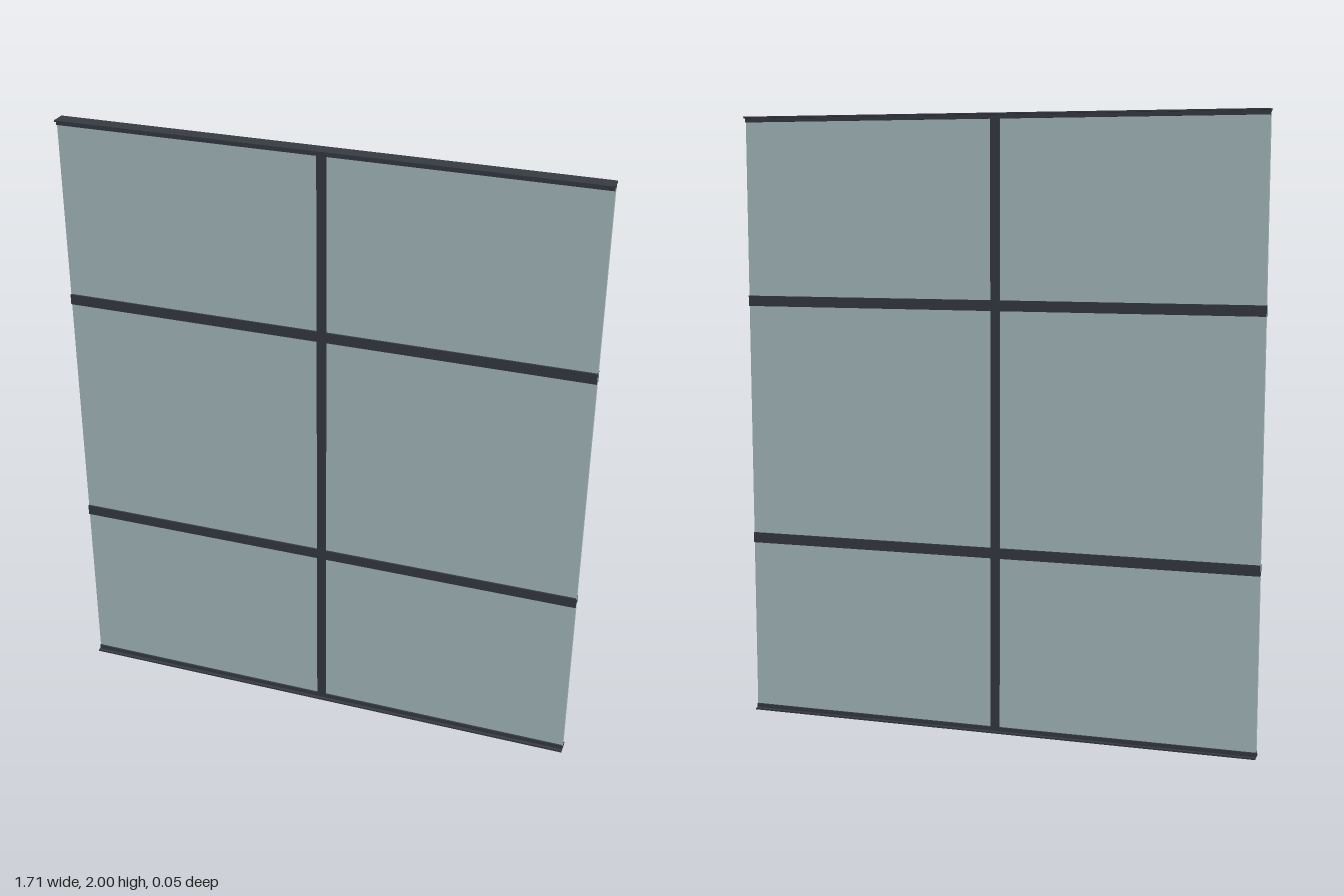
import * as THREE from 'three';

const WIDTH = 1.71, HEIGHT = 2, DEPTH = 0.026;

export function createModel() {
  const group = new THREE.Group();
  const frame = new THREE.MeshStandardMaterial({ color: 0x363a42 });
  frame.name = 'dark frame';
  const glass = new THREE.MeshStandardMaterial({ color: 0xa9bfc2 });
  glass.name = 'pale glass';

  const box = (name, material, w, h, d, x, y) => {
    const mesh = new THREE.Mesh(new THREE.BoxGeometry(w, h, d), material);
    mesh.name = name;
    mesh.position.set(x, y, 0);
    group.add(mesh);
  };

  // Six panes, two columns by three rows, tucked into the bars
  const levels = [0.01, 0.6, 1.4, 1.99];
  for (const side of [-1, 1]) {
    for (let i = 0; i < 3; i++) {
      const h = levels[i + 1] - levels[i];
      box('pane', glass, WIDTH / 2, h, 0.014, side * WIDTH / 4, levels[i] + h / 2);
    }
  }

  // Upright bar and the two cross rails
  box('mullion', frame, 0.03, HEIGHT - 0.01, DEPTH, 0, HEIGHT / 2);
  for (const y of [0.6, 1.4]) box('crossRail', frame, WIDTH, 0.034, DEPTH, 0, y);

  // Top and bottom rails: a narrow web with a wide, thin flange
  for (const [name, edge, inward] of [['bottom', 0, 1], ['top', HEIGHT, -1]]) {
    box(name + 'Rail', frame, WIDTH, 0.016, DEPTH, 0, edge + inward * 0.01);
    box(name + 'Flange', frame, WIDTH, 0.005, 0.05, 0, edge + inward * 0.0025);
  }

  return group;
}
